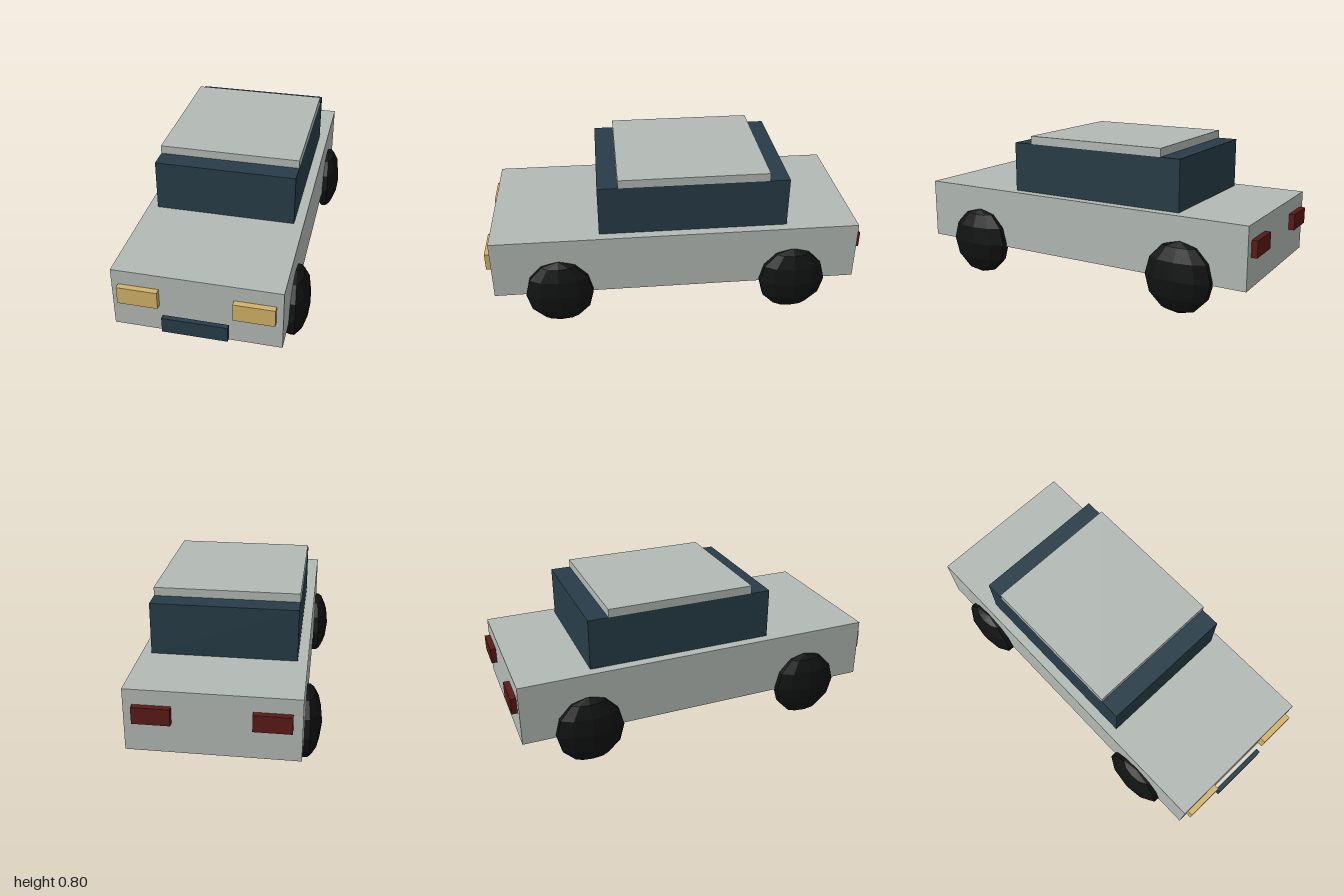
import * as THREE from 'three';

const material = (color) => new THREE.MeshStandardMaterial({ color, flatShading: true });

export function createModel() {
  const car = new THREE.Group();
  car.name = 'car';

  const paint = material(0xb2b9b4);
  const darkBlue = material(0x273c47);
  const amber = material(0xd1b268);
  const red = material(0x5a1a16);
  const rubber = material(0x111212);

  // Box given by its extents along each axis
  function box(name, mat, [x0, x1], [y0, y1], [z0, z1]) {
    const mesh = new THREE.Mesh(new THREE.BoxGeometry(x1 - x0, y1 - y0, z1 - z0), mat);
    mesh.position.set((x0 + x1) / 2, (y0 + y1) / 2, (z0 + z1) / 2);
    mesh.name = name;
    car.add(mesh);
  }

  // Body, glazed cabin and roof panel
  box('body', paint, [-0.412, 0.412], [0.173, 0.492], [-0.97, 0.955]);
  box('cabin', darkBlue, [-0.362, 0.362], [0.492, 0.757], [-0.593, 0.393]);
  box('roof', paint, [-0.362, 0.362], [0.757, 0.8], [-0.488, 0.288]);

  // Front grille, standing just clear of the body
  box('grille', darkBlue, [-0.16, 0.16], [0.2, 0.281], [0.975, 1]);

  // Lamps and wheels, mirrored left and right
  const wheelGeometry = new THREE.SphereGeometry(0.184, 10, 6);
  wheelGeometry.scale(0.415, 1, 1);
  for (const [side, s] of [['left', 1], ['right', -1]]) {
    const span = (a, b) => (s > 0 ? [a, b] : [-b, -a]);
    box(`${side}Headlight`, amber, span(0.18, 0.379), [0.322, 0.414], [0.955, 0.985]);
    box(`${side}TailLight`, red, span(0.187, 0.368), [0.33, 0.415], [-1, -0.97]);

    for (const [end, z] of [['Front', 0.612], ['Rear', -0.627]]) {
      const wheel = new THREE.Mesh(wheelGeometry, rubber);
      wheel.name = `${side}${end}Wheel`;
      wheel.position.set(s * 0.418, 0.186, z);
      car.add(wheel);
    }
  }

  return car;
}
